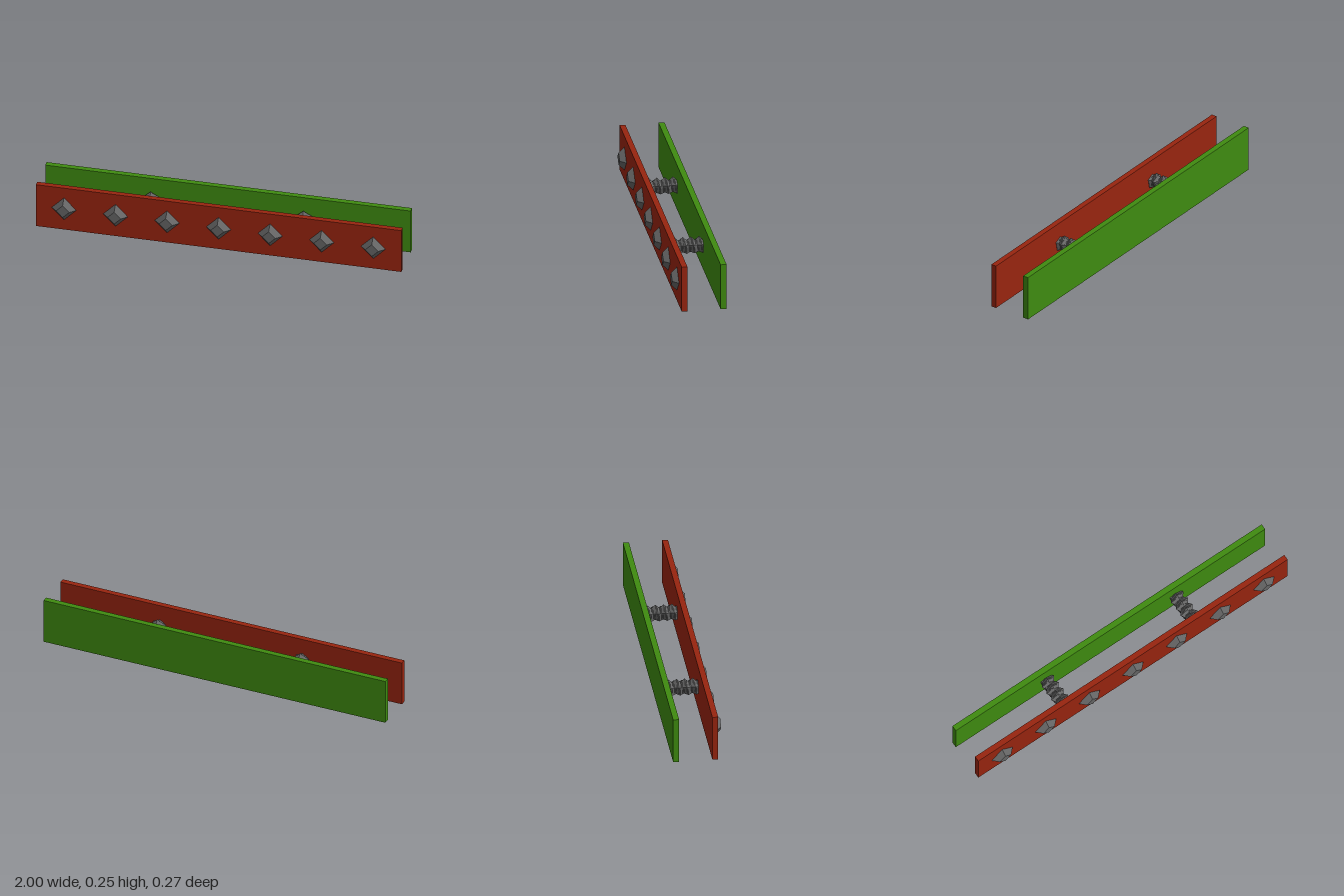
import * as THREE from 'three';

export function createModel() {
  const red = new THREE.MeshStandardMaterial({ color: 0x98240f });
  red.name = 'red paint';
  const green = new THREE.MeshStandardMaterial({ color: 0x3f8b10 });
  green.name = 'green paint';
  const steel = new THREE.MeshStandardMaterial({ color: 0x666666 });
  steel.name = 'grey steel';

  const model = new THREE.Group();
  model.name = 'studdedRail';
  const add = (name, geometry, material, x, y, z) => {
    const mesh = new THREE.Mesh(geometry, material);
    mesh.name = name;
    mesh.position.set(x, y, z);
    model.add(mesh);
    return mesh;
  };

  // Two long parallel boards
  add('frontBoard', new THREE.BoxGeometry(2, 0.255, 0.031), red, 0, 0.1275, 0.09);
  add('backBoard', new THREE.BoxGeometry(2, 0.255, 0.032), green, 0, 0.1275, -0.12);

  // Seven truncated pyramid studs along the front
  const stud = new THREE.CylinderGeometry(0.036, 0.069, 0.033, 4).toNonIndexed();
  stud.rotateX(Math.PI / 2);
  stud.computeVertexNormals();
  for (let i = -3; i <= 3; i++) add('stud', stud, steel, i * 0.282, 0.1275, 0.1205);

  // Two threaded spacers between the boards
  const thread = threadGeometry();
  for (const x of [-0.418, 0.418]) add('threadedSpacer', thread, steel, x, 0.137, 0);
  return model;
}

// Five-sided rod whose corners rise and fall along a helical thread
function threadGeometry() {
  const sides = 5, steps = 42, pitch = 0.0438, step = pitch / 10;
  const outer = 0.048, valley = [0.026, 0.031, 0.038, 0.038, 0.031];
  const positions = [], index = [];
  for (let i = 0; i <= steps; i++) {
    const z = 0.0777 - i * step;
    for (let k = 0; k < sides; k++) {
      const turn = (((i - 7) / 10 - k / sides) % 1 + 1) % 1;
      const height = Math.abs(turn - 0.5) * 2; // 1 on a crest, 0 in a groove
      const r = valley[k] + (outer - valley[k]) * height;
      const a = (k / sides) * Math.PI * 2;
      positions.push(Math.sin(a) * r, Math.cos(a) * r, z);
      if (i < steps) {
        const p = i * sides + k, q = i * sides + (k + 1) % sides;
        index.push(p, q, p + sides, q, q + sides, p + sides);
      }
    }
  }
  // Winding faces outward: corners run clockwise while z decreases
  const g = new THREE.BufferGeometry();
  g.setAttribute('position', new THREE.Float32BufferAttribute(positions, 3));
  g.setIndex(index);
  const flat = g.toNonIndexed();
  flat.computeVertexNormals();
  return flat;
}
